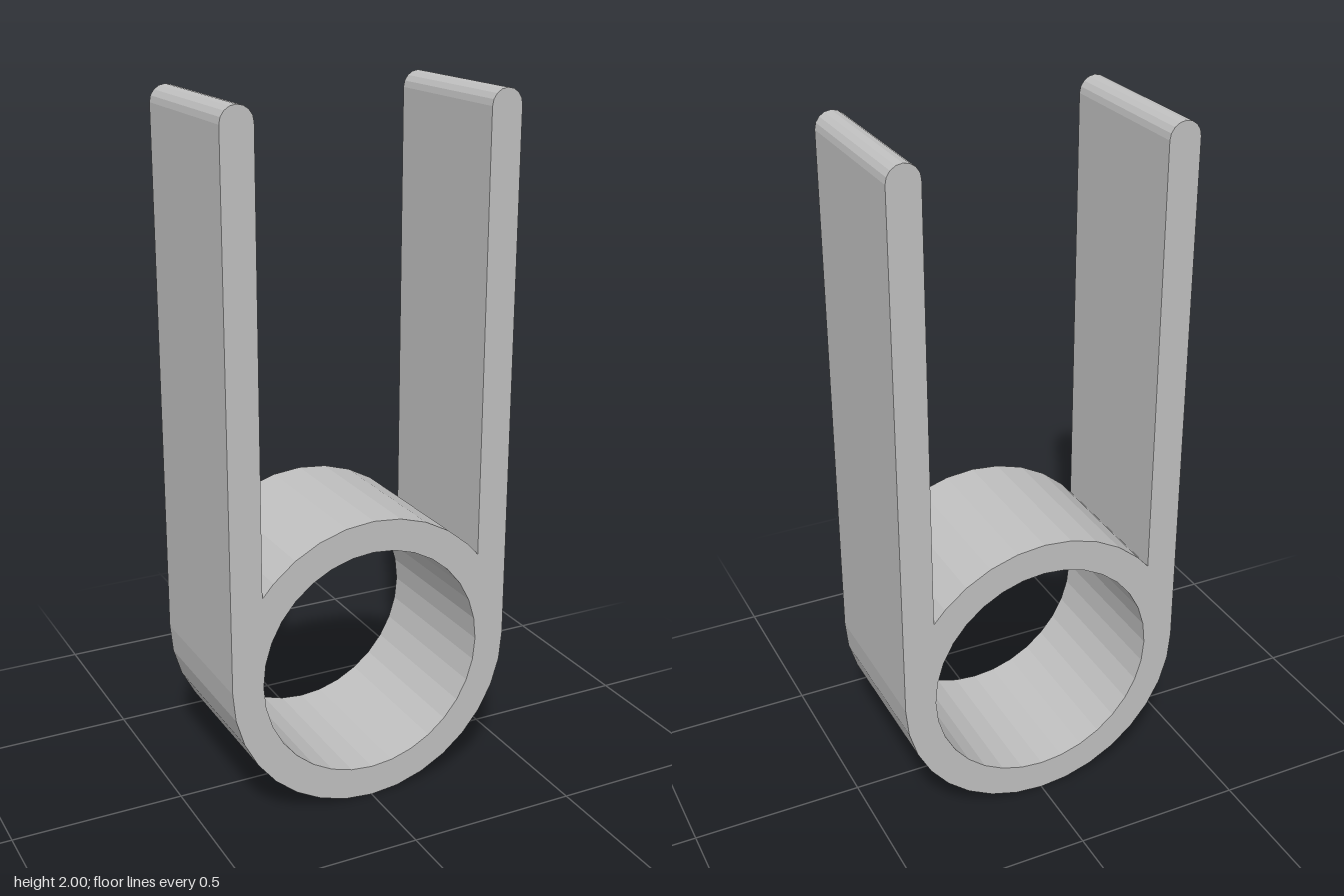
import * as THREE from 'three';

const RING_Y = 0.43, OUTER = 0.428, INNER = 0.336, DEPTH = 0.475;
const ARM_X = (OUTER + INNER) / 2, CAP = (OUTER - INNER) / 2;

// Points along an arc, angles in degrees, both ends included
function arc(cx, cy, r, from, to, steps) {
  return Array.from({ length: steps + 1 }, (_, i) => {
    const a = THREE.MathUtils.degToRad(from + (to - from) * i / steps);
    return new THREE.Vector2(cx + r * Math.cos(a), cy + r * Math.sin(a));
  });
}

export function createModel() {
  const group = new THREE.Group();
  group.name = 'forkedRing';
  const grey = new THREE.MeshStandardMaterial({ color: 0xc0c0c0, flatShading: true });
  grey.name = 'light grey';

  // Outline: ring underside, right-hand arm, ring crown, other arm
  const notchY = RING_Y + Math.sqrt(OUTER ** 2 - INNER ** 2);
  const capY = 2 - CAP;
  const outline = [
    ...arc(0, RING_Y, OUTER, 180, 360, 16),
    ...arc(ARM_X, capY, CAP, 0, 180, 8),
    new THREE.Vector2(INNER, notchY),
    ...arc(0, RING_Y, OUTER, 45, 135, 8),
    new THREE.Vector2(-INNER, notchY),
    ...arc(-ARM_X, capY, CAP, 0, 180, 8),
  ];
  const shape = new THREE.Shape(outline);

  // Round bore through the ring
  shape.holes.push(new THREE.Path(arc(0, RING_Y, INNER, 360, 0, 32).slice(0, -1)));

  const geometry = new THREE.ExtrudeGeometry(shape, { depth: DEPTH, bevelEnabled: false });
  geometry.translate(0, 0, -DEPTH / 2);
  geometry.computeBoundingBox();
  geometry.translate(0, -geometry.boundingBox.min.y, 0);

  const body = new THREE.Mesh(geometry, grey);
  body.name = 'ringWithArms';
  group.add(body);
  return group;
}
